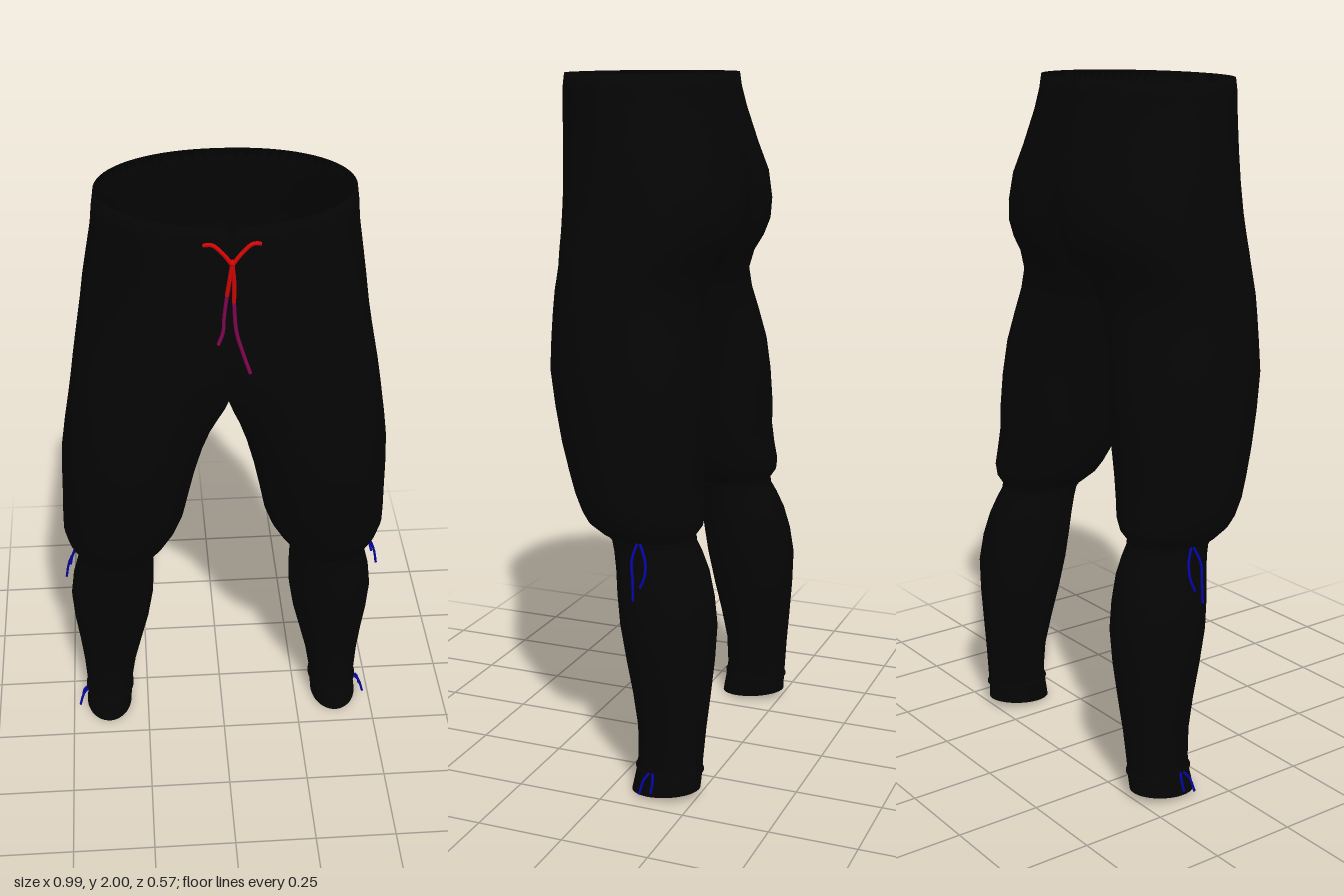
import * as THREE from 'three';
import { mergeVertices, mergeGeometries } from 'three/addons/utils/BufferGeometryUtils.js';

const OUT = 36, INN = 14, N = OUT + INN; // points round the outer and inner side of a leg

// Half-hip rows: y, outer x, front z, back z, centre crease front, centre crease back
const hips = [
  [1.97, 0.336, 0.262, -0.182, 0, 0], [2.0, 0.34, 0.269, -0.184, 0, 0],
  [1.96, 0.346, 0.274, -0.19, 0, 0], [1.9, 0.352, 0.274, -0.207, 0, 0], [1.8, 0.369, 0.268, -0.24, 0, 0.03],
  [1.72, 0.382, 0.262, -0.27, 0, 0.08], [1.64, 0.393, 0.256, -0.278, 0, 0.14], [1.58, 0.403, 0.252, -0.27, 0.02, 0.2],
  [1.53, 0.412, 0.25, -0.247, 0.04, 0.24], [1.48, 0.421, 0.247, -0.213, 0.08, 0.24],
];
// Leg rows: y, outer x, inner x, front z, back z, blend from hip half to round leg
const thigh = [
  [1.42, 0.431, 0.004, 0.243, -0.182, 0.35], [1.36, 0.441, 0.02, 0.238, -0.18, 0.65],
  [1.29, 0.453, 0.038, 0.233, -0.192, 0.88], [1.2, 0.466, 0.06, 0.228, -0.21, 1],
  [1.1, 0.473, 0.085, 0.208, -0.22, 1], [1.0, 0.477, 0.105, 0.184, -0.224, 1],
  [0.92, 0.481, 0.12, 0.158, -0.221, 1], [0.86, 0.483, 0.14, 0.136, -0.226, 1],
  [0.81, 0.474, 0.165, 0.114, -0.235, 1], [0.78, 0.458, 0.188, 0.097, -0.232, 1],
  [0.755, 0.44, 0.212, 0.06, -0.215, 1],
];
const calf = [
  [0.74, 0.429, 0.221, 0.028, -0.212, 1], [0.7, 0.439, 0.219, 0.017, -0.235, 1],
  [0.65, 0.453, 0.216, 0.008, -0.257, 1], [0.58, 0.47, 0.216, 0, -0.275, 1],
  [0.5, 0.48, 0.22, -0.011, -0.286, 1], [0.4, 0.475, 0.236, -0.031, -0.282, 1],
  [0.3, 0.464, 0.26, -0.052, -0.274, 1], [0.2, 0.455, 0.284, -0.069, -0.265, 1],
  [0.11, 0.45, 0.299, -0.071, -0.259, 1], [0.06, 0.449, 0.303, -0.064, -0.256, 1],
  [0.004, 0.455, 0.306, -0.053, -0.254, 1],
];

// Half of the hip outline, closed along the centre line by the inner points.
// It is oval at the waist and squarer towards the thighs.
function hipPoint(y, xo, zf, zb, cf, cb, j) {
  const outer = j <= OUT, zc = (zf + zb) / 2, rz = (zf - zb) / 2;
  const t = outer ? Math.PI * j / OUT : Math.PI * (1 - (j - OUT) / INN);
  const x = outer ? (j === 0 || j === OUT ? 0 : xo * Math.sin(t) ** 0.92) : 0;
  const c = Math.cos(t), waist = THREE.MathUtils.smoothstep(y, 1.5, 1.95);
  const power = c > 0 ? 0.68 + 0.52 * waist : 0.74 + 0.22 * waist;
  const crease = 1 - (c > 0 ? cf : cb) * Math.exp(-((x / 0.06) ** 2));
  const z = zc + rz * Math.sign(c) * Math.abs(c) ** power * crease;
  return new THREE.Vector3(x, outer ? y : y - 0.045 * Math.sin(t), z);
}

// Rounded leg outline, blended with the hip outline near the crotch
function legPoint([y, xo, xi, zf, zb, blend], j) {
  const a = j <= OUT ? -0.85 + (Math.PI + 1.7) * j / OUT
    : Math.PI + 0.85 + (Math.PI - 1.7) * (j - OUT) / INN;
  const p = new THREE.Vector3((xo + xi) / 2 + (xo - xi) / 2 * Math.sin(a), y,
    (zf + zb) / 2 + (zf - zb) / 2 * Math.cos(a));
  if (y < 0.05) p.y += 0.12 * (zf - p.z); // slanted ankle hem
  return blend < 1 ? hipPoint(y, xo, zf, zb, 0.1, 0.2, j).lerp(p, blend) : p;
}

// One half of the trousers: open hip strip above, closed leg tube below
function halfTrousers(side) {
  const rows = [
    ...hips.map(r => j => hipPoint(...r, j)),
    ...[...thigh, ...calf].map(r => j => legPoint(r, j)),
  ];
  const pos = [], index = [];
  rows.forEach(f => {
    for (let j = 0; j < N; j++) {
      const p = f(j);
      pos.push(p.x * side, p.y, p.z);
    }
  });
  for (let i = 0; i < rows.length - 1; i++) {
    const count = i < hips.length - 1 ? OUT : N;
    for (let j = 0; j < count; j++) {
      const a = i * N + j, b = i * N + (j + 1) % N, c = a + N, d = b + N;
      if (side > 0) index.push(a, c, b, b, c, d);
      else index.push(a, b, c, b, d, c);
    }
  }
  const g = new THREE.BufferGeometry();
  g.setAttribute('position', new THREE.Float32BufferAttribute(pos, 3));
  g.setIndex(index);
  return g;
}

export function createModel() {
  const model = new THREE.Group();
  const material = (name, color, side = THREE.FrontSide) => {
    const m = new THREE.MeshStandardMaterial({ color, side });
    m.name = name;
    return m;
  };
  const cloth = material('black cloth', 0x050505, THREE.DoubleSide);
  const red = material('red cord', 0xd80404);
  const purple = material('purple cord', 0x8a0458);
  const blue = material('blue cord', 0x0404a8);

  const add = (name, geometry, mat) => {
    const mesh = new THREE.Mesh(geometry, mat);
    mesh.name = name;
    model.add(mesh);
  };
  const cord = (name, points, radius, mat, closed = false) => {
    const curve = new THREE.CatmullRomCurve3(
      points.map(p => (p.isVector3 ? p : new THREE.Vector3(...p))), closed);
    add(name, new THREE.TubeGeometry(curve, closed ? 64 : 16, radius, 6, closed), mat);
  };

  // Trousers
  const body = mergeVertices(mergeGeometries([halfTrousers(1), halfTrousers(-1)]), 1e-4);
  body.computeVertexNormals();
  add('trousers', body, cloth);

  for (const s of [1, -1]) {
    const label = s > 0 ? 'left' : 'right';
    const flip = pts => pts.map(([x, y, z]) => [x * s, y, z]);

    // Gathered bands below the knee and at the ankle
    for (const [name, row] of [['KneeBand', calf[0]], ['AnkleBand', [0.08, 0.451, 0.3, -0.067, -0.258, 1]]]) {
      const ring = [];
      for (let j = 0; j < N; j += 2) ring.push(legPoint(row, j).multiply(new THREE.Vector3(s, 1, 1)));
      cord(label + name, ring, 0.004, cloth, true);
    }

    // Loose cord ends on the outer side
    cord(label + 'KneeCordFront', flip([[0.432, 0.755, -0.09], [0.462, 0.71, -0.085], [0.48, 0.66, -0.095], [0.49, 0.605, -0.1]]), 0.004, blue);
    cord(label + 'KneeCordBack', flip([[0.432, 0.755, -0.095], [0.452, 0.71, -0.12], [0.468, 0.67, -0.125], [0.476, 0.64, -0.115]]), 0.004, blue);
    cord(label + 'AnkleCordFront', flip([[0.45, 0.085, -0.13], [0.465, 0.07, -0.12], [0.478, 0.03, -0.11]]), 0.004, blue);
    cord(label + 'AnkleCordBack', flip([[0.45, 0.085, -0.14], [0.463, 0.065, -0.145], [0.47, 0.035, -0.142]]), 0.004, blue);

    // Waist drawstring ends
    cord(label + 'WaistCord', flip([[0.072, 1.952, 0.268], [0.05, 1.955, 0.275], [0.022, 1.93, 0.278], [0, 1.9, 0.279]]), 0.006, red);
  }

  // Hanging drawstring strands, red above and purple below
  cord('leftStrandTop', [[0, 1.905, 0.279], [0.005, 1.85, 0.275], [0.005, 1.79, 0.271]], 0.006, red);
  cord('leftStrandEnd', [[0.005, 1.79, 0.271], [0.012, 1.7, 0.264], [0.03, 1.63, 0.258], [0.05, 1.565, 0.254]], 0.005, purple);
  cord('rightStrandTop', [[0, 1.905, 0.279], [-0.006, 1.86, 0.276], [-0.013, 1.81, 0.272]], 0.006, red);
  cord('rightStrandEnd', [[-0.013, 1.81, 0.272], [-0.02, 1.74, 0.267], [-0.022, 1.7, 0.264], [-0.034, 1.66, 0.26]], 0.005, purple);
  add('drawstringKnot', new THREE.SphereGeometry(0.009, 10, 8).translate(0, 1.905, 0.277), red);

  return model;
}
